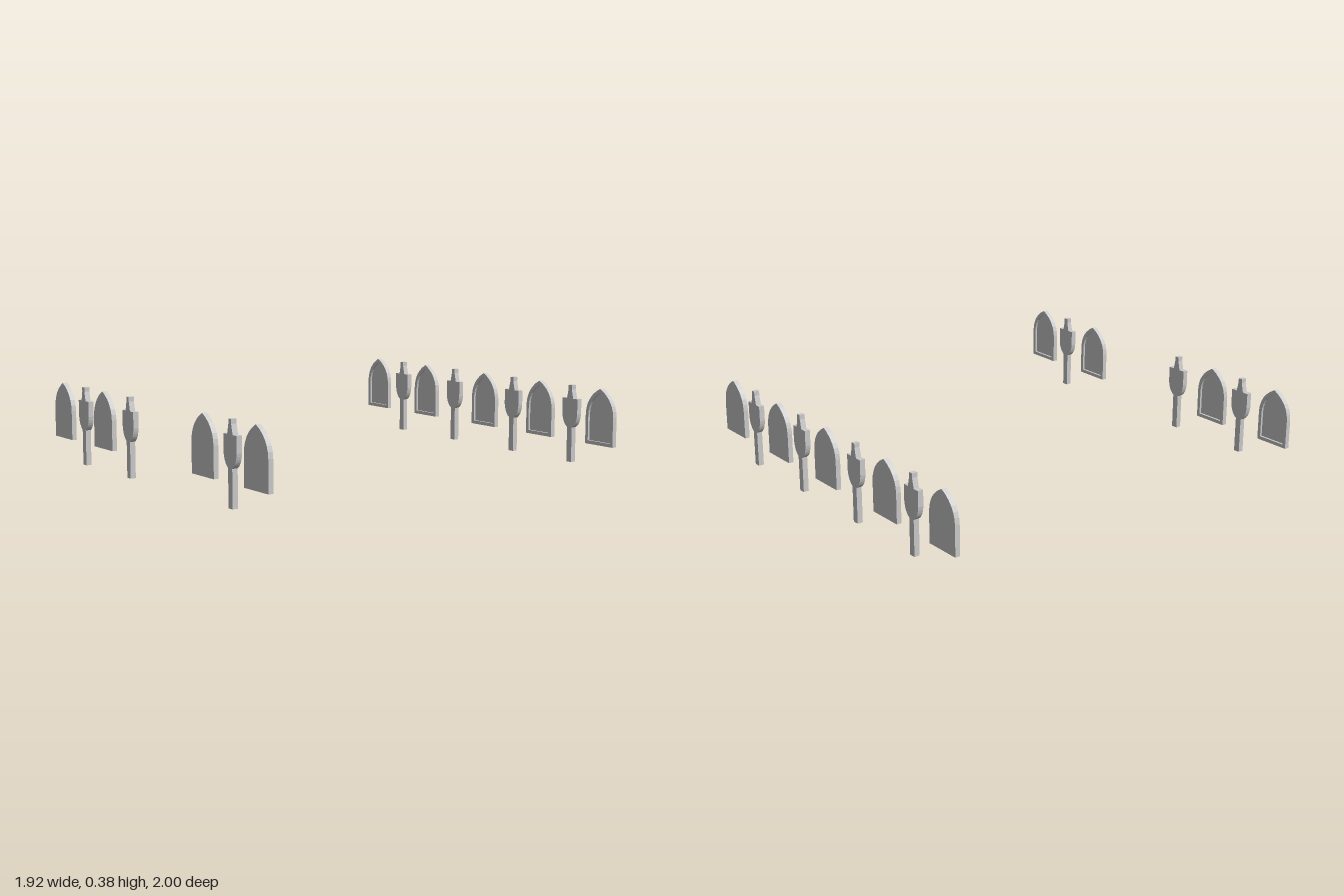
import * as THREE from 'three';

const material = new THREE.MeshStandardMaterial({ color: 0xcccccc, flatShading: true });

// Pointed-arch outline: straight sides, curved shoulders meeting at a peak
function arch(PathType, half, bottom, shoulder, top) {
  const p = new PathType();
  const ctrl = shoulder + (top - shoulder) * 0.66;
  p.moveTo(-half, bottom);
  p.lineTo(half, bottom);
  p.lineTo(half, shoulder);
  p.quadraticCurveTo(half * 0.97, ctrl, 0, top);
  p.quadraticCurveTo(-half * 0.97, ctrl, -half, shoulder);
  p.closePath();
  return p;
}

function extrude(shape, z0, z1) {
  const g = new THREE.ExtrudeGeometry(shape, { depth: z1 - z0, bevelEnabled: false, curveSegments: 6 });
  return g.translate(0, 0, z0);
}

// Post silhouette: narrow stem, rounded shield body, tapered neck
function postShape() {
  const s = new THREE.Shape();
  s.moveTo(-0.016, 0);
  s.lineTo(0.016, 0);
  s.lineTo(0.016, 0.172);
  s.quadraticCurveTo(0.046, 0.19, 0.051, 0.24);
  s.lineTo(0.051, 0.315);
  s.lineTo(0.021, 0.315);
  s.lineTo(0.011, 0.36);
  s.lineTo(0.011, 0.381);
  s.lineTo(-0.011, 0.381);
  s.lineTo(-0.011, 0.36);
  s.lineTo(-0.021, 0.315);
  s.lineTo(-0.051, 0.315);
  s.lineTo(-0.051, 0.24);
  s.quadraticCurveTo(-0.046, 0.19, -0.016, 0.172);
  s.closePath();
  return s;
}

export function createModel() {
  const model = new THREE.Group();

  // Geometries have their flat outer face at z = -1, recess facing +z
  const plateGeo = extrude(arch(THREE.Shape, 0.09, 0.106, 0.25, 0.381), -1, -0.987);
  const frameShape = arch(THREE.Shape, 0.09, 0.106, 0.25, 0.381);
  frameShape.holes.push(arch(THREE.Path, 0.073, 0.123, 0.247, 0.36));
  const frameGeo = extrude(frameShape, -0.987, -0.976);
  const postGeo = extrude(postShape(), -1, -0.973);

  const rows = [
    { name: 'backRow', turn: 0, panels: [-0.865, -0.445, 0.033, 0.45, 0.866], posts: [-0.646, -0.207, 0.252, 0.67] },
    { name: 'frontRow', turn: Math.PI, panels: [-0.87, -0.454, 0.45, 0.866], posts: [-0.65, -0.207, 0.67] },
  ];

  for (const { name, turn, panels, posts } of rows) {
    const row = new THREE.Group();
    row.name = name;
    const sign = turn ? -1 : 1;
    const add = (geo, part, x, parent = row) => {
      const m = new THREE.Mesh(geo, material);
      m.name = part;
      m.position.x = x;
      parent.add(m);
    };
    // Arched panels with a recessed inner face
    for (const x of panels) {
      const panel = new THREE.Group();
      panel.name = 'archedPanel';
      panel.position.x = x * sign;
      add(plateGeo, 'panelPlate', 0, panel);
      add(frameGeo, 'panelFrame', 0, panel);
      row.add(panel);
    }
    // Posts between the panels
    for (const x of posts) add(postGeo, 'post', x * sign);
    row.rotation.y = turn;
    model.add(row);
  }
  return model;
}
